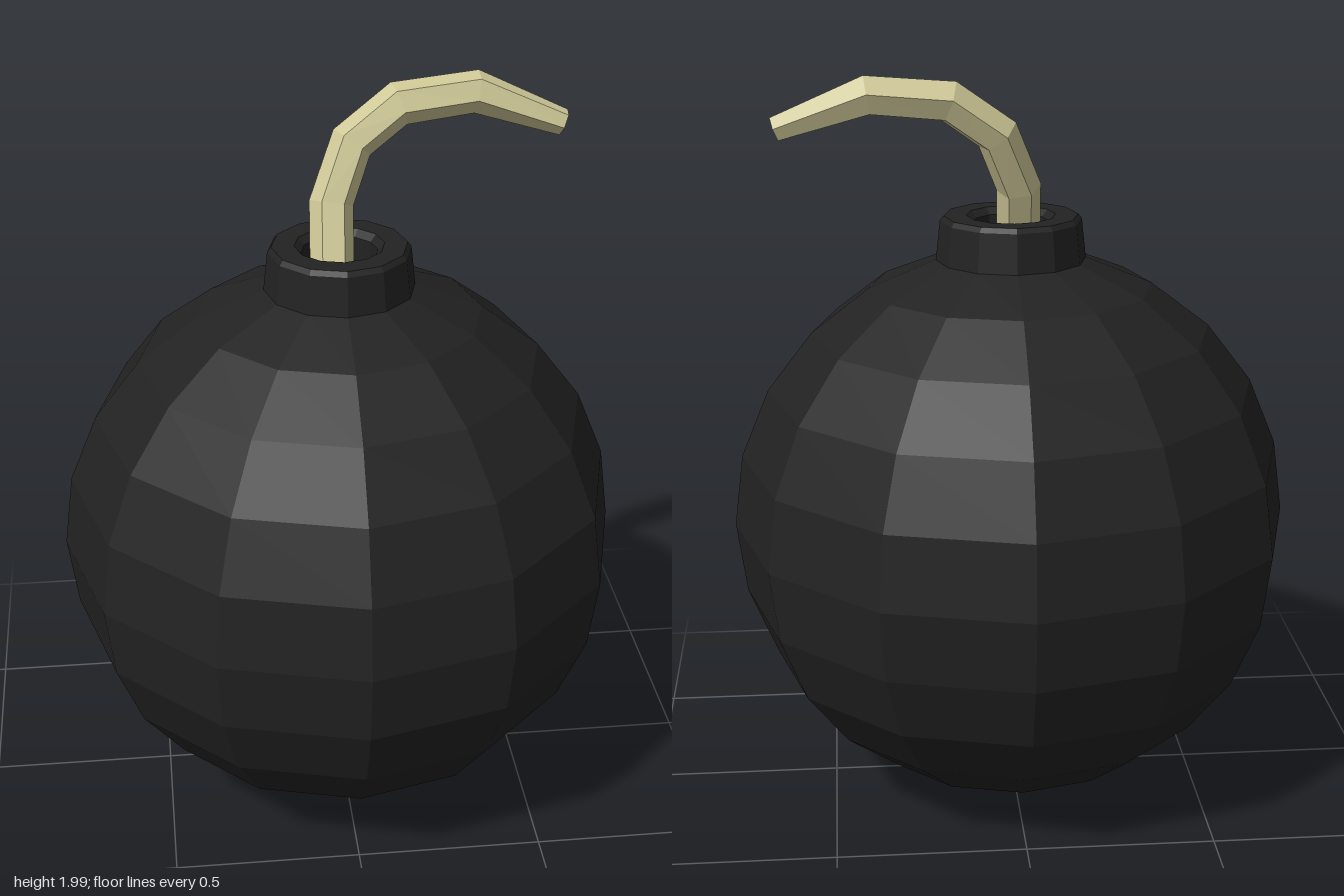
import * as THREE from 'three';

// Hexagonal tapered tube bent in a plane whose normal is B; pts are [x, y, z, radius]
function bentTube(pts, B, sides) {
  const centres = pts.map(p => new THREE.Vector3(p[0], p[1], p[2]));
  const pos = [], index = [], last = pts.length - 1;
  centres.forEach((c, i) => {
    const T = centres[Math.min(i + 1, last)].clone().sub(centres[Math.max(i - 1, 0)]).normalize();
    const N = B.clone().cross(T).normalize();
    const side = T.clone().cross(N);
    for (let k = 0; k < sides; k++) {
      const a = (k / sides) * Math.PI * 2;
      const v = c.clone().addScaledVector(N, pts[i][3] * Math.cos(a)).addScaledVector(side, pts[i][3] * Math.sin(a));
      pos.push(v.x, v.y, v.z);
    }
  });
  for (let i = 0; i < last; i++) {
    for (let k = 0; k < sides; k++) {
      const a = i * sides + k, b = i * sides + (k + 1) % sides;
      index.push(a, b, b + sides, a, b + sides, a + sides);
    }
  }
  // end caps
  const end = last * sides;
  for (let k = 1; k < sides - 1; k++) {
    index.push(0, k + 1, k, end, end + k, end + k + 1);
  }
  const geo = new THREE.BufferGeometry();
  geo.setAttribute('position', new THREE.Float32BufferAttribute(pos, 3));
  geo.setIndex(index);
  const flat = geo.toNonIndexed();
  flat.computeVertexNormals();
  return flat;
}

export function createModel() {
  const group = new THREE.Group();
  const black = new THREE.MeshStandardMaterial({ color: 0x222222, flatShading: true });
  black.name = 'black iron';
  const cream = new THREE.MeshStandardMaterial({ color: 0xd0c998, flatShading: true });
  cream.name = 'cream rope';

  const add = (name, geo, mat) => {
    const mesh = new THREE.Mesh(geo, mat);
    mesh.name = name;
    group.add(mesh);
    return mesh;
  };

  // round faceted body
  add('body', new THREE.SphereGeometry(0.755, 12, 12), black).position.y = 0.758;

  // short collar with a hollow socket
  const profile = [[0.2, 1.45], [0.2, 1.48], [0.188, 1.59], [0.178, 1.603], [0.118, 1.603], [0.1, 1.585], [0.1, 1.52], [0, 1.52]]
    .map(([x, y]) => new THREE.Vector2(x, y));
  add('collar', new THREE.LatheGeometry(profile, 12), black);

  // curved fuse leaning back, then over to the side
  const fusePath = [
    [-0.02, 1.49, 0.015, 0.058],
    [-0.014, 1.69, -0.07, 0.058],
    [0.045, 1.835, -0.122, 0.058],
    [0.17, 1.926, -0.148, 0.058],
    [0.375, 1.945, -0.165, 0.056],
    [0.605, 1.86, -0.145, 0.035],
  ];
  add('fuse', bentTube(fusePath, new THREE.Vector3(0, 0.37, 0.93).normalize(), 6), cream);

  return group;
}
